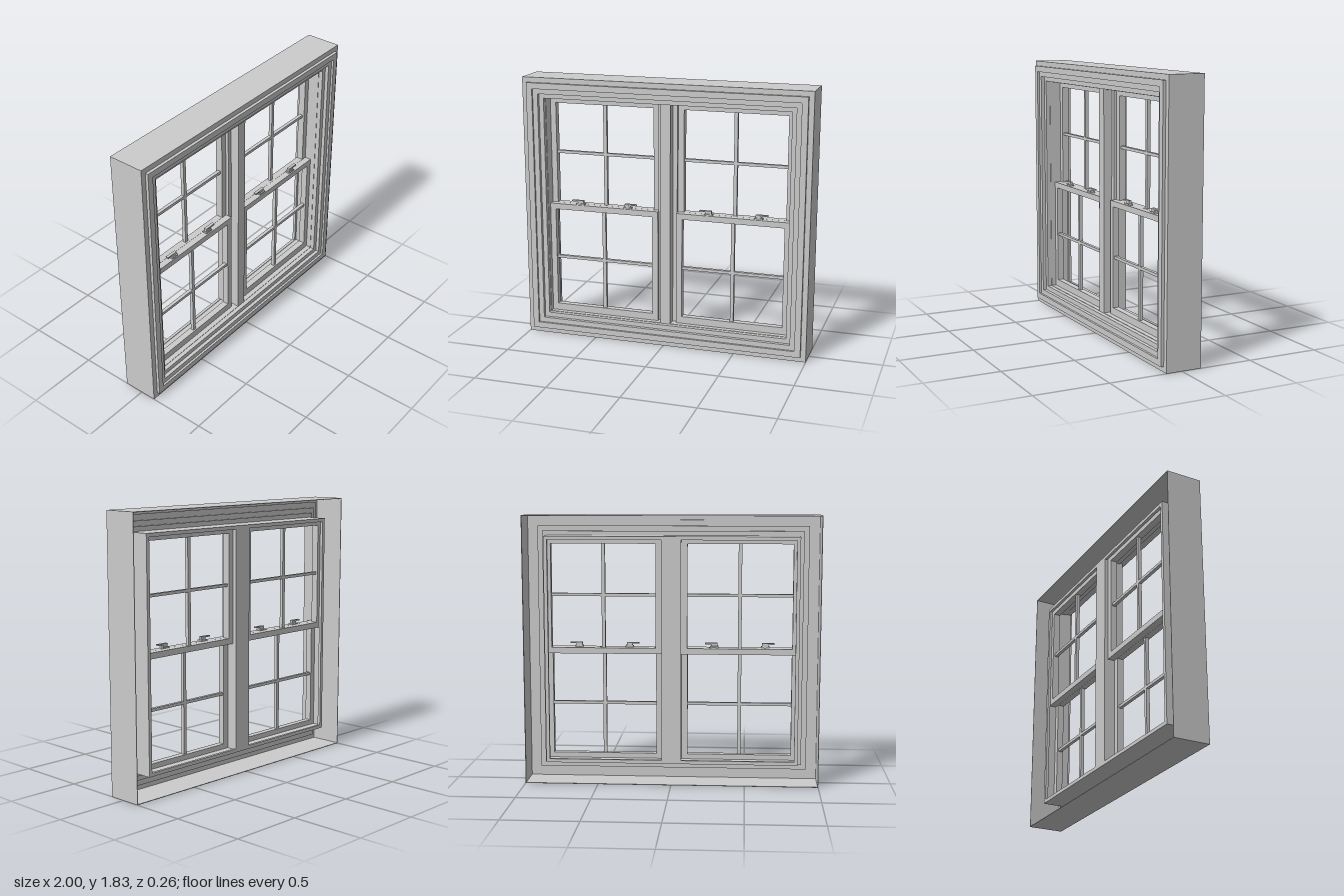
import * as THREE from 'three';

const H = 1.83;
const material = new THREE.MeshStandardMaterial({ color: 0xcccccc, flatShading: true });

// Box given by its min and max on each axis
function box(parent, name, x0, x1, y0, y1, z0, z1) {
  const mesh = new THREE.Mesh(new THREE.BoxGeometry(x1 - x0, y1 - y0, z1 - z0), material);
  mesh.position.set((x0 + x1) / 2, (y0 + y1) / 2, (z0 + z1) / 2);
  mesh.name = name;
  parent.add(mesh);
  return mesh;
}

// Rectangular ring between an outer rectangle and one inset by "wall"
function ring(parent, name, x0, x1, y0, y1, wall, z0, z1) {
  const rect = (P, a, b, c, d) => {
    const p = new P();
    p.moveTo(a, c).lineTo(b, c).lineTo(b, d).lineTo(a, d).closePath();
    return p;
  };
  const shape = rect(THREE.Shape, x0, x1, y0, y1);
  shape.holes.push(rect(THREE.Path, x0 + wall, x1 - wall, y0 + wall, y1 - wall));
  const geo = new THREE.ExtrudeGeometry(shape, { depth: z1 - z0, bevelEnabled: false });
  geo.translate(0, 0, z0);
  const mesh = new THREE.Mesh(geo, material);
  mesh.name = name;
  parent.add(mesh);
}

// Ring concentric with the whole frame, inset from its outer edge
function frameRing(parent, name, inset, wall, z0, z1) {
  ring(parent, name, -1 + inset, 1 - inset, inset, H - inset, wall, z0, z1);
}

// Sash: stiles, rails and a cross of glazing bars, centred on x = 0
function makeSash(name, y0, y1, bottomRail, topRail, barY, z0, z1) {
  const sash = new THREE.Group();
  sash.name = name;
  const outer = 0.396, inner = 0.354, mid = (z0 + z1) / 2;
  for (const s of [-1, 1]) {
    box(sash, 'stile', Math.min(s * inner, s * outer), Math.max(s * inner, s * outer), y0, y1, z0, z1);
  }
  box(sash, 'bottomRail', -inner, inner, y0, y0 + bottomRail, z0, z1);
  box(sash, 'topRail', -inner, inner, y1 - topRail, y1, z0, z1);
  box(sash, 'verticalBar', -0.012, 0.012, y0 + bottomRail, y1 - topRail, mid - 0.012, mid + 0.012);
  box(sash, 'horizontalBar', -inner, inner, barY - 0.01, barY + 0.01, mid - 0.012, mid + 0.012);
  return sash;
}

// Sash lock: stepped base with a flat lever
function makeLock() {
  const lock = new THREE.Group();
  lock.name = 'sashLock';
  box(lock, 'lockBase', 0.145, 0.2, 0.935, 0.945, -0.018, 0.016);
  box(lock, 'lockHub', 0.152, 0.193, 0.945, 0.957, -0.01, 0.01);
  box(lock, 'lockLever', 0.152, 0.236, 0.957, 0.966, -0.012, 0.008);
  return lock;
}

export function createModel() {
  const model = new THREE.Group();
  model.name = 'doubleWindow';

  // Thin outer shell, open at the back
  frameRing(model, 'outerShell', 0, 0.004, -0.135, 0.11);

  // Stepped front casing, from outside to inside
  const casing = new THREE.Group();
  casing.name = 'casing';
  model.add(casing);
  frameRing(casing, 'casingEdge', 0.002, 0.036, 0.09, 0.11);
  frameRing(casing, 'casingTrim', 0.035, 0.041, 0.08, 0.13);
  frameRing(casing, 'casingStep', 0.075, 0.036, 0.065, 0.115);
  frameRing(casing, 'casingInnerStep', 0.11, 0.033, 0.05, 0.09);

  // Inner jamb with a stop at its back
  frameRing(model, 'jamb', 0.14, 0.006, -0.095, 0.06);
  frameRing(model, 'backStop', 0.144, 0.02, -0.095, -0.075);
  box(model, 'sill', -0.855, 0.855, 0.145, 0.16, -0.075, -0.02);
  box(model, 'headStop', -0.855, 0.855, 1.678, 1.688, -0.02, 0.04);

  // Centre mullion
  box(model, 'mullionFront', -0.035, 0.035, 0.144, 1.686, 0, 0.06);
  box(model, 'mullionBack', -0.066, 0.066, 0.144, 1.686, -0.095, 0);

  // Two windows, each with a back upper sash and a front lower sash
  for (const s of [-1, 1]) {
    const unit = new THREE.Group();
    unit.name = s > 0 ? 'leftWindow' : 'rightWindow';
    unit.position.x = s * 0.461;
    unit.add(makeSash('upperSash', 0.895, 1.686, 0.04, 0.046, 1.295, -0.07, -0.021));
    unit.add(makeSash('lowerSash', 0.146, 0.935, 0.049, 0.04, 0.545, -0.02, 0.025));
    const lock = makeLock();
    const mirrored = makeLock();
    mirrored.rotation.y = Math.PI;
    unit.add(lock, mirrored);
    model.add(unit);
  }
  return model;
}
